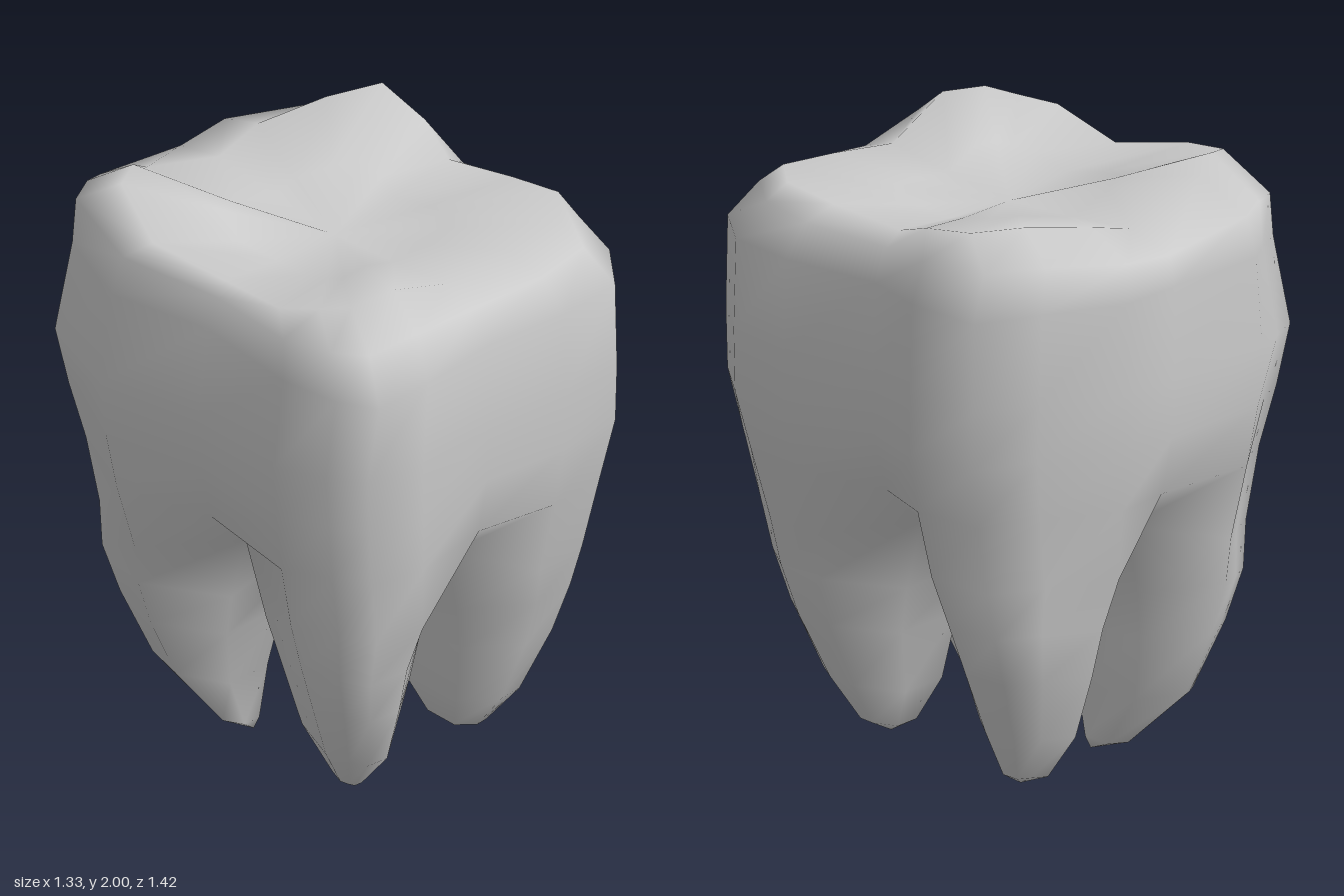
import * as THREE from 'three';
import { mergeVertices } from 'three/addons/utils/BufferGeometryUtils.js';

// Widest outline of the crown [x, z]: for each quadrant a side groove,
// then four points round the corner.
const outline = [
  [0.61, 0], [0.66, 0.33], [0.645, 0.55], [0.52, 0.70], [0.29, 0.71],
  [0, 0.67], [-0.30, 0.69], [-0.51, 0.67], [-0.58, 0.55], [-0.63, 0.37],
  [-0.59, 0], [-0.67, -0.34], [-0.56, -0.65], [-0.46, -0.69], [-0.37, -0.71],
  [0, -0.69], [0.20, -0.68], [0.45, -0.55], [0.65, -0.45], [0.66, -0.20],
];
const N = outline.length;
const PER = 5; // outline points per quadrant

// Height of the crest over each outline point
const GROOVE = 1.86;
const crest = [
  GROOVE, 1.89, 1.915, 1.91, 1.89,
  GROOVE, 1.955, 1.94, 1.92, 1.90,
  GROOVE, 1.91, 1.98, 2.0, 1.95,
  GROOVE, 1.91, 1.95, 1.96, 1.92,
];

// One root per quadrant, in outline order
const roots = [
  { sx: 1, sz: 1, blunt: 0.5, tip: [0.23, 0.05, 0.28] },
  { sx: -1, sz: 1, blunt: 0.65, tip: [-0.18, 0.01, 0.24] },
  { sx: -1, sz: -1, blunt: 0.6, tip: [-0.17, 0, -0.18] },
  { sx: 1, sz: -1, blunt: 0.5, tip: [0.25, 0.04, -0.28] },
];

const V = (x, y, z) => new THREE.Vector3(x, y, z);
const isGroove = (i) => i % PER === 0;

// Outline scaled by its own factor on each side: [+x, -x], [+z, -z].
// The corner of each quadrant and the grooves can be drawn in or out.
function ring([px, nx], [pz, nz], yAt, corners = [1, 1, 1, 1], groove = 1) {
  return outline.map(([x, z], i) => {
    const step = i % PER;
    let k = 1;
    if (step === 0) k = groove;
    else if (step === 2 || step === 3) k = corners[Math.floor(i / PER)];
    return V(x * k * (x > 0 ? px : nx), yAt(i), z * k * (z > 0 ? pz : nz));
  });
}

// Crest relief, lowered to a base height and flattened by a gain
const relief = (base, gain) => (i) => base + (crest[i] - GROOVE) * gain;

function triangle(out, a, b, c) {
  if (a.equals(b) || b.equals(c) || a.equals(c)) return;
  for (const p of [a, b, c]) out.push(p.x, p.y, p.z);
}

// Skin between successive closed rings, listed from top to bottom
function loft(out, rings) {
  for (let r = 0; r < rings.length - 1; r++) {
    const a = rings[r], b = rings[r + 1], n = a.length;
    for (let i = 0; i < n; i++) {
      const j = (i + 1) % n;
      triangle(out, a[i], a[j], b[j]);
      triangle(out, a[i], b[j], b[i]);
    }
  }
}

export function createModel() {
  const triangles = [];

  // Crown: chewing surface, shoulder and walls down to where the roots part
  const split = ring([0.82, 0.83], [0.92, 0.9], (i) => (isGroove(i) ? 0.87 : 0.78),
    [1, 0.97, 0.97, 1], 0.78);
  loft(triangles, [
    Array(N).fill(V(0, 1.81, 0)),
    ring([0.42, 0.42], [0.38, 0.38], relief(1.83, 0.5)),
    ring([0.8, 0.8], [0.73, 0.73], relief(GROOVE, 1), [1.05, 0.95, 1, 1.03]),
    ring([0.9, 0.87], [0.9, 0.975], relief(1.82, 0.4), [0.98, 1, 1, 0.98]),
    ring([0.985, 0.93], [1, 1], () => 1.72, [1, 1.03, 0.97, 1]),
    ring([1, 1], [1, 1], () => 1.42, [1, 0.95, 1, 0.97]),
    ring([1, 0.97], [0.99, 0.99], () => 1.22, [1, 0.93, 0.97, 0.95]),
    ring([0.93, 0.92], [0.965, 0.95], () => 1.02, [0.99, 0.95, 0.95, 0.97], 0.97),
    split,
  ]);

  // Roots: each takes a quarter of the crown edge and the shared inner roof
  const roof = V(0.04, 0.76, -0.02);
  const levels = [
    { y: 0.62, gx: 0.075, gz: 0.075, ox: 0.52, oz: 0.61 },
    { y: 0.45, gx: 0.105, gz: 0.12, ox: 0.465, oz: 0.565 },
    { y: 0.23, gx: 0.135, gz: 0.155, ox: 0.375, oz: 0.485 },
  ];
  roots.forEach(({ sx, sz, blunt, tip }, q) => {
    const indices = Array.from({ length: PER + 1 }, (_, k) => (q * PER + k) % N);
    const section = ({ y, gx, gz, ox, oz }) => {
      const points = indices.map((i) => {
        const pull = isGroove(i) ? 0.74 : 0.98;
        const u = Math.abs(outline[i][0]) / 0.66 * pull;
        const w = Math.abs(outline[i][1]) / 0.7 * pull;
        return V(sx * (gx + (ox - gx) * u), y, sz * (gz + (oz - gz) * w));
      });
      points.push(V(sx * gx, y, sz * gz));
      return points;
    };
    const end = V(...tip);
    const sections = levels.map(section);
    // Blunt end just above the tip
    const foot = sections[2].map((p) => p.clone().lerp(end, blunt).setY(end.y + 0.04));
    loft(triangles, [
      [...indices.map((i) => split[i]), roof],
      ...sections,
      foot,
      Array(PER + 2).fill(end),
    ]);
  });

  // Shared vertices give the smooth shading
  let geometry = new THREE.BufferGeometry();
  geometry.setAttribute('position', new THREE.Float32BufferAttribute(triangles, 3));
  geometry = mergeVertices(geometry, 1e-4);
  geometry.computeVertexNormals();

  const tooth = new THREE.Mesh(geometry, new THREE.MeshStandardMaterial({ color: 0xcccccc }));
  tooth.name = 'molarCrownAndRoots';
  const group = new THREE.Group();
  group.name = 'tooth';
  group.add(tooth);
  return group;
}
